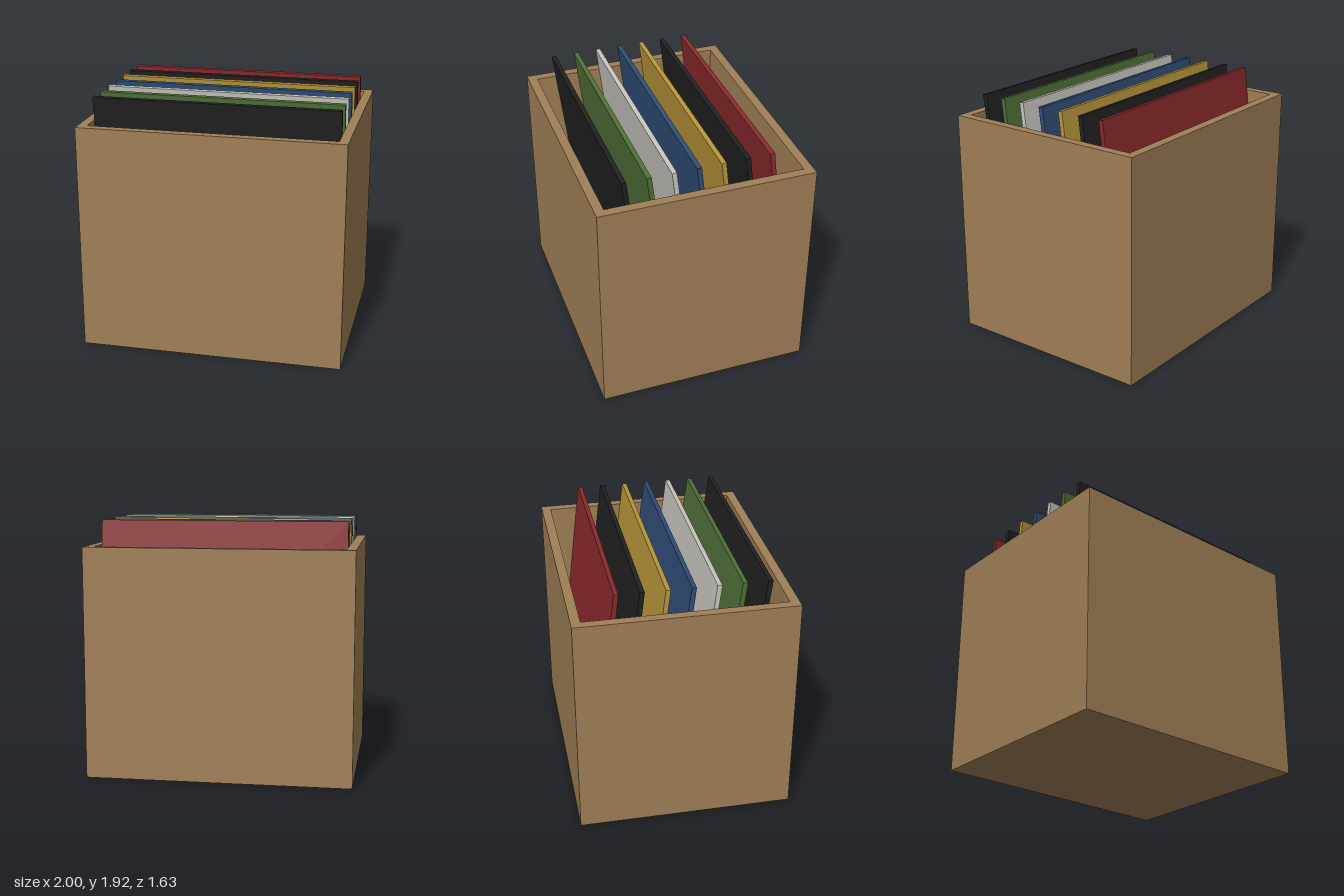
import * as THREE from 'three';

const WIDTH = 2, DEPTH = 1.63, HEIGHT = 1.74, WALL = 0.07;
const SLEEVE = 1.855, THICK = 0.035, TILT = 0.12, SPACING = 0.182;

const mat = (name, color) => {
  const m = new THREE.MeshStandardMaterial({ color });
  m.name = name;
  return m;
};

// Closed rectangle outline centred on the origin
const rect = (path, w, d) => path
  .moveTo(-w / 2, -d / 2).lineTo(w / 2, -d / 2)
  .lineTo(w / 2, d / 2).lineTo(-w / 2, d / 2).closePath();

export function createModel() {
  const group = new THREE.Group();
  group.name = 'recordCrate';

  const wood = mat('wood', 0xa07f56);
  const black = mat('black', 0x212121);
  const green = mat('green', 0x4f7038);
  const white = mat('offWhite', 0xc8c6be);
  const blue = mat('blue', 0x2f4d76);
  const yellow = mat('mustard', 0xb8963a);
  const red = mat('red', 0x8a2a2c);

  const add = (name, geometry, material) => {
    const mesh = new THREE.Mesh(geometry, material);
    mesh.name = name;
    group.add(mesh);
    return mesh;
  };

  // Four crate walls as one extruded frame
  const innerW = WIDTH - 2 * WALL, innerD = DEPTH - 2 * WALL;
  const frame = new THREE.Shape();
  rect(frame, WIDTH, DEPTH);
  const hole = new THREE.Path();
  rect(hole, innerW, innerD);
  frame.holes.push(hole);
  const walls = new THREE.ExtrudeGeometry(frame, { depth: HEIGHT, bevelEnabled: false });
  walls.rotateX(-Math.PI / 2);
  add('crateWalls', walls, wood);

  // Crate floor
  add('crateFloor', new THREE.BoxGeometry(innerW, WALL, innerD), wood).position.y = WALL / 2;

  // Record sleeves from front to back, leaning forward
  const sleeve = new THREE.BoxGeometry(SLEEVE, SLEEVE, THICK);
  [black, green, white, blue, yellow, black, red].forEach((material, i) => {
    const mesh = add(`sleeve${i + 1}`, sleeve, material);
    mesh.position.set(0, 1.002, 0.487 - i * SPACING);
    mesh.rotation.x = TILT;
  });

  return group;
}
